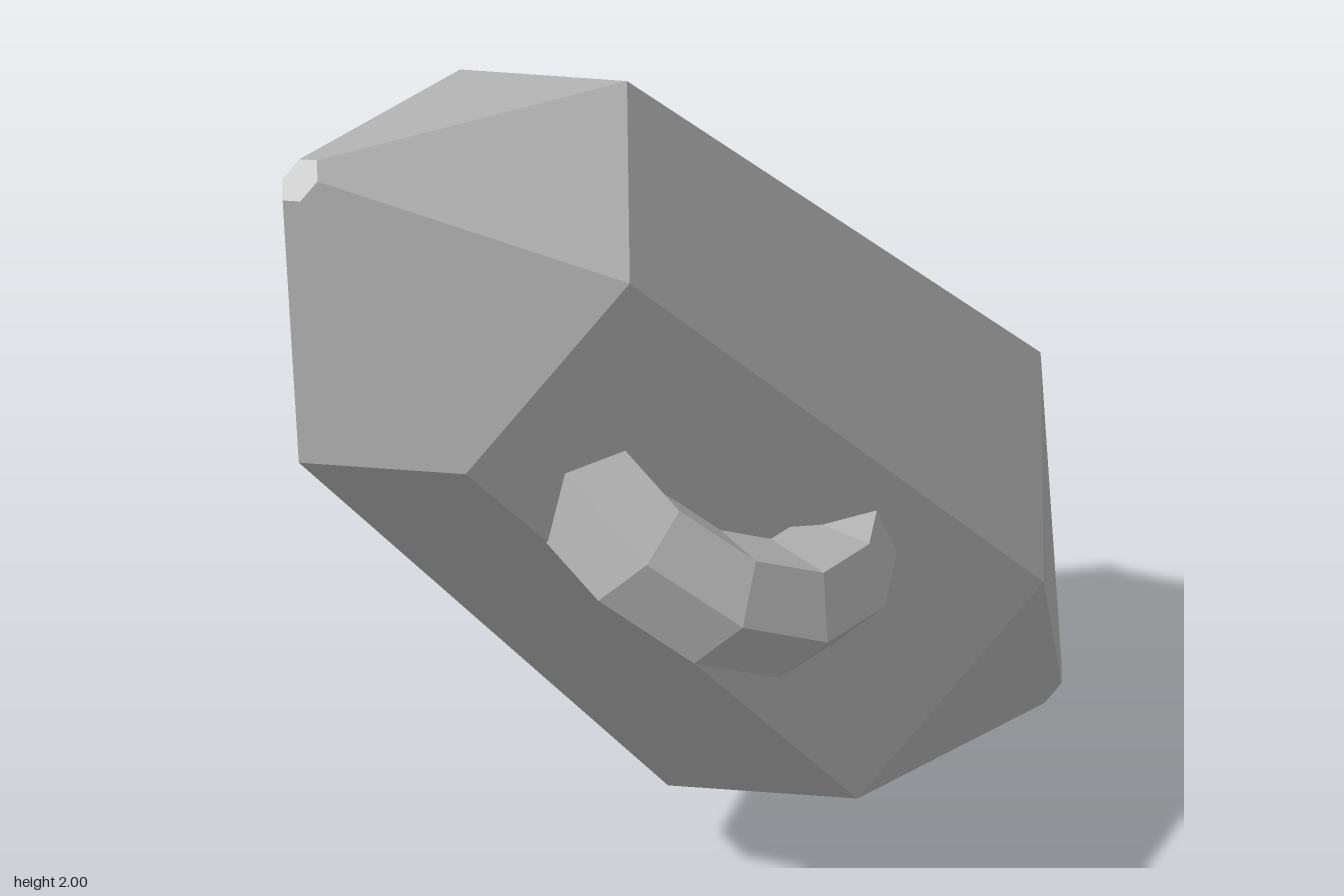
import * as THREE from 'three';

const stone = new THREE.MeshStandardMaterial({ color: 0xbfbfbf, flatShading: true });
stone.name = 'pale grey stone';

// Six-sided crystal: the same hexagon scaled at four stations along a slanted axis
function crystalGeometry() {
  const a = [0.33, 0.302, 0.095];
  const b = [0.09, 0.08, 0.335];
  const c = b.map((v, i) => v - a[i]);
  const hexagon = [a, b, c, ...[a, b, c].map(p => p.map(v => -v))];
  const stations = [ // centre, scale
    [[-0.965, 1.965, -0.055], 0.105],
    [[-0.54, 1.58, -0.055], 1],
    [[0.475, 0.495, -0.05], 1.135],
    [[0.97, 0.033, -0.05], 0.105],
  ];
  const positions = [];
  for (const [centre, scale] of stations)
    for (const p of hexagon) positions.push(...p.map((v, i) => centre[i] + v * scale));

  const faces = [];
  for (let k = 0; k < 3; k++)
    for (let i = 0; i < 6; i++) {
      const j = (i + 1) % 6, t = k * 6, u = t + 6;
      faces.push(t + j, u + j, u + i, t + j, u + i, t + i);
    }
  // Blunt tips
  for (let i = 1; i < 5; i++) faces.push(0, i + 1, i, 18, 18 + i, 18 + i + 1);

  const geometry = new THREE.BufferGeometry();
  geometry.setAttribute('position', new THREE.Float32BufferAttribute(positions, 3));
  geometry.setIndex(faces);
  const flat = geometry.toNonIndexed();
  flat.computeVertexNormals();
  return flat;
}

// Ring with a hexagonal section, one flat side facing outward
function ringGeometry(radius, tube, segments) {
  const profile = [];
  for (let i = 0; i <= 6; i++) {
    const angle = Math.PI / 6 + i * Math.PI / 3;
    profile.push(new THREE.Vector2(radius + tube * Math.cos(angle), tube * Math.sin(angle)));
  }
  return new THREE.LatheGeometry(profile, segments);
}

export function createModel() {
  const model = new THREE.Group();
  model.name = 'ringedCrystal';

  const crystal = new THREE.Mesh(crystalGeometry(), stone);
  crystal.name = 'crystal';

  // The tilted ring dips in and out of the crystal
  const ring = new THREE.Mesh(ringGeometry(0.435, 0.127, 14), stone);
  ring.name = 'ring';
  ring.position.set(-0.075, 1.115, 0);
  ring.quaternion.setFromUnitVectors(
    new THREE.Vector3(0, 1, 0),
    new THREE.Vector3(0.37, 0.7, 0.61).normalize()
  );

  model.add(crystal, ring);
  return model;
}
